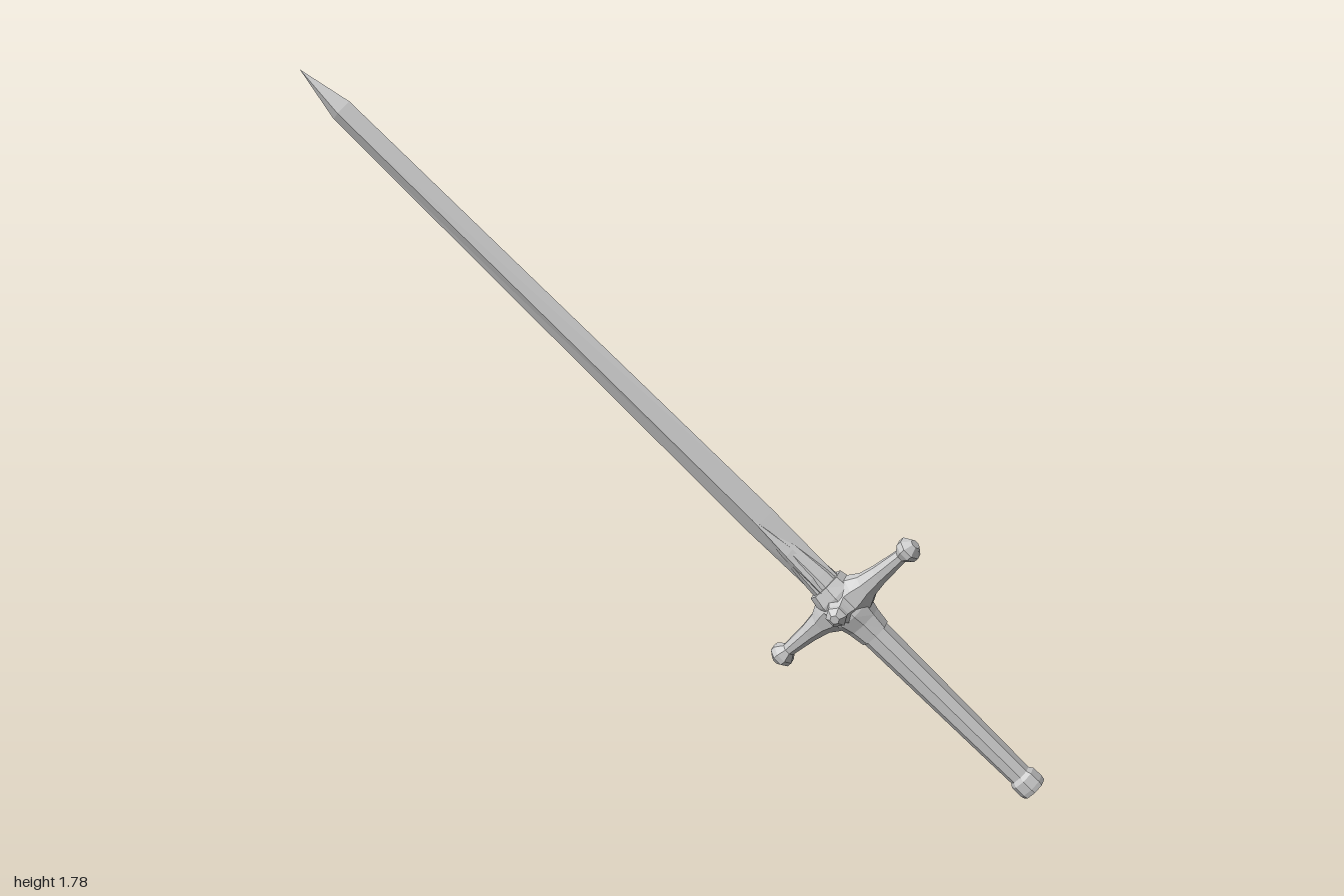
import * as THREE from 'three';

const material = new THREE.MeshStandardMaterial({ color: 0xcccccc, flatShading: true });

// Faceted loft along y; each row is [y, half width in x, half depth in z].
function loft(name, rows, sides, turn = 0) {
  const points = rows.map((_, i) => new THREE.Vector2(1, i));
  const geo = new THREE.LatheGeometry(points, sides, turn, Math.PI * 2).toNonIndexed();
  const pos = geo.attributes.position;
  for (let i = 0; i < pos.count; i++) {
    const [y, w, d] = rows[Math.round(pos.getY(i))];
    pos.setXYZ(i, pos.getX(i) * w, y, pos.getZ(i) * d);
  }
  geo.computeVertexNormals();
  const mesh = new THREE.Mesh(geo, material);
  mesh.name = name;
  return mesh;
}

export function createModel() {
  // Local frame: blade along +y, crossguard along x, flat of the blade facing z.
  const sword = new THREE.Group();
  sword.name = 'sword';

  // Diamond-section blade with a short point
  sword.add(loft('blade', [
    [0.03, 0.045, 0.028], [0.31, 0.051, 0.026], [1.825, 0.036, 0.024], [1.973, 0, 0],
  ], 4));

  // Thickened blade root
  sword.add(loft('bladeRoot', [
    [0.03, 0.046, 0.044], [0.1, 0.042, 0.037], [0.2, 0.03, 0.029], [0.3, 0.01, 0.024],
  ], 8, Math.PI / 8));

  // Hub with a collar over each end
  sword.add(loft('hub', [
    [-0.115, 0, 0], [-0.115, 0.046, 0.041], [-0.07, 0.053, 0.046], [-0.035, 0.062, 0.058],
    [0.035, 0.062, 0.058], [0.07, 0.056, 0.048], [0.07, 0, 0],
  ], 8, Math.PI / 8));

  // Octagonal grip and pommel
  sword.add(loft('grip', [
    [-0.67, 0.032, 0.03], [-0.4, 0.037, 0.034], [-0.1, 0.042, 0.038],
  ], 8, Math.PI / 8));
  sword.add(loft('pommel', [
    [-0.708, 0, 0], [-0.708, 0.037, 0.037], [-0.695, 0.04, 0.04],
    [-0.665, 0.039, 0.039], [-0.652, 0.031, 0.029],
  ], 8, Math.PI / 8));

  for (const side of [1, -1]) {
    // Crossguard arms, flaring at the hub and ending in knobs
    const arm = loft('guardArm', [
      [0.02, 0.062, 0.052], [0.06, 0.052, 0.042], [0.09, 0.036, 0.034], [0.14, 0.027, 0.026],
      [0.225, 0.019, 0.019], [0.245, 0.034, 0.033], [0.26, 0.034, 0.033],
      [0.279, 0.014, 0.014], [0.279, 0, 0],
    ], 8, Math.PI / 8);
    arm.rotation.z = -side * Math.PI / 2;
    sword.add(arm);

    // Studs on the front and back of the hub
    const stud = loft('hubStud', [
      [0.03, 0.055, 0.055], [0.055, 0.036, 0.036], [0.066, 0.03, 0.03],
      [0.078, 0.03, 0.03], [0.092, 0.013, 0.013], [0.092, 0, 0],
    ], 6);
    stud.rotation.x = side * Math.PI / 2;
    sword.add(stud);

    // Leaf-shaped langets on both faces of the blade
    const langet = loft('langet', [
      [0.05, 0.012, 0.026], [0.11, 0.019, 0.023], [0.2, 0.02, 0.016], [0.34, 0, 0.004],
    ], 4);
    langet.position.z = side * 0.021;
    sword.add(langet);
  }

  // Slant the whole sword
  const up = new THREE.Vector3(-0.737, 0.655, 0.164).normalize();
  const across = new THREE.Vector3(0.631, 0.759, -0.158);
  const face = across.clone().cross(up).normalize();
  across.crossVectors(up, face);
  sword.quaternion.setFromRotationMatrix(new THREE.Matrix4().makeBasis(across, up, face));
  sword.position.set(0.455, 0.497, -0.089);

  const model = new THREE.Group();
  model.name = 'model';
  model.add(sword);
  return model;
}
